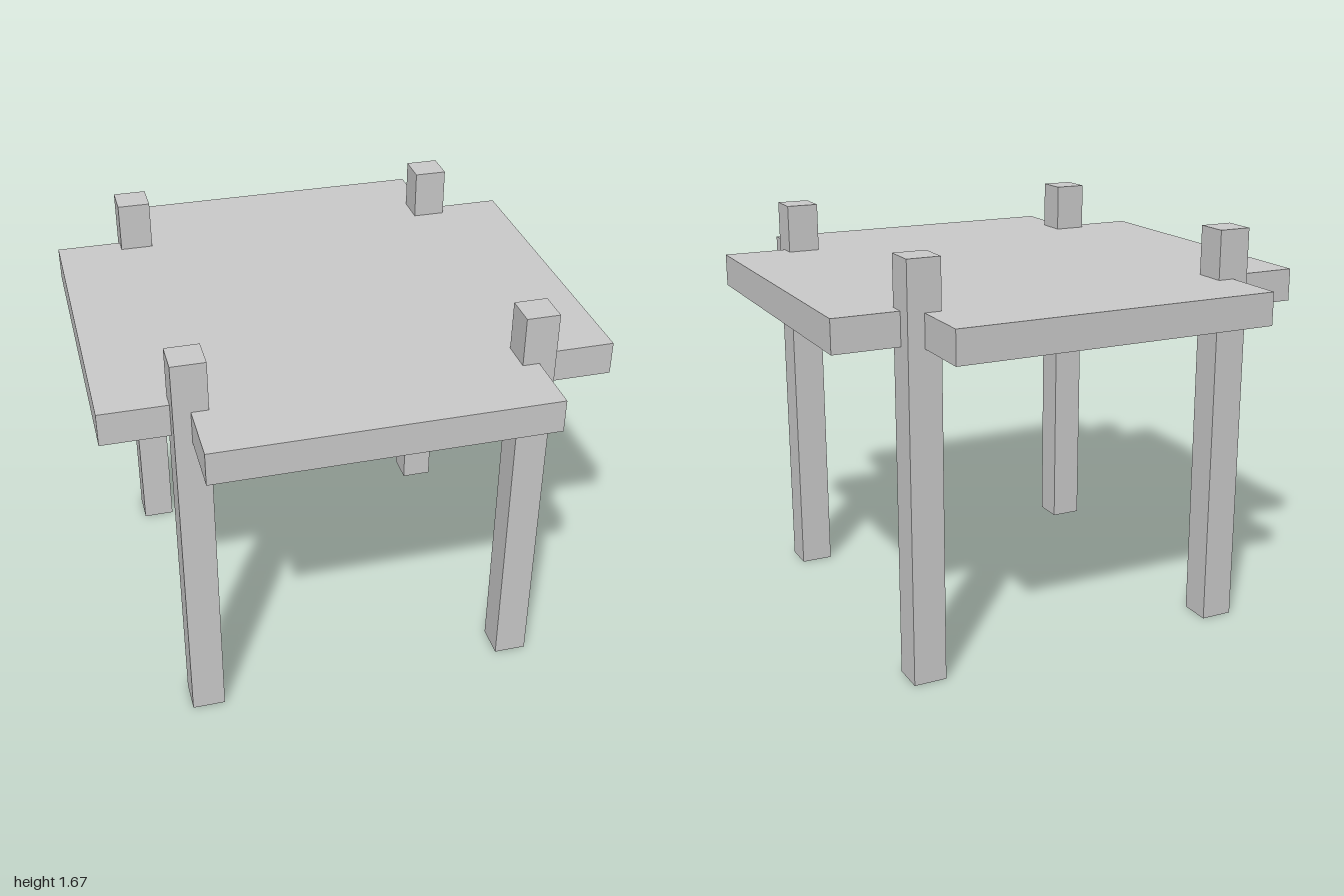
import * as THREE from 'three';

const ARM = 2 / 3;        // half width of each arm of the top, also the leg centre
const THICK = 0.1333;     // top thickness and leg width
const TOP_Y = 1.3333;     // underside of the top
const LEG_HEIGHT = 1.6667;

export function createModel() {
  const group = new THREE.Group();
  group.name = 'table';
  const material = new THREE.MeshStandardMaterial({ color: 0xcccccc, flatShading: true });

  // Cross-shaped table top: a square with its four corners notched out
  const outline = [];
  for (let i = 0; i < 4; i++) {
    const corner = new THREE.Vector2();
    for (const [x, y] of [[1, ARM], [ARM, ARM], [ARM, 1]]) {
      outline.push(new THREE.Vector2(x, y).rotateAround(corner, i * Math.PI / 2));
    }
  }
  const topGeometry = new THREE.ExtrudeGeometry(new THREE.Shape(outline), { depth: THICK, bevelEnabled: false });
  topGeometry.rotateX(-Math.PI / 2);
  const top = new THREE.Mesh(topGeometry, material);
  top.name = 'tableTop';
  top.position.y = TOP_Y;
  group.add(top);

  // Square legs set into the notches, rising above the top
  const legGeometry = new THREE.BoxGeometry(THICK, LEG_HEIGHT, THICK);
  for (const [zName, z] of [['front', 1], ['back', -1]]) {
    for (const [xName, x] of [['Left', 1], ['Right', -1]]) {
      const leg = new THREE.Mesh(legGeometry, material);
      leg.name = `${zName}${xName}Leg`;
      leg.position.set(x * ARM, LEG_HEIGHT / 2, z * ARM);
      group.add(leg);
    }
  }
  return group;
}
